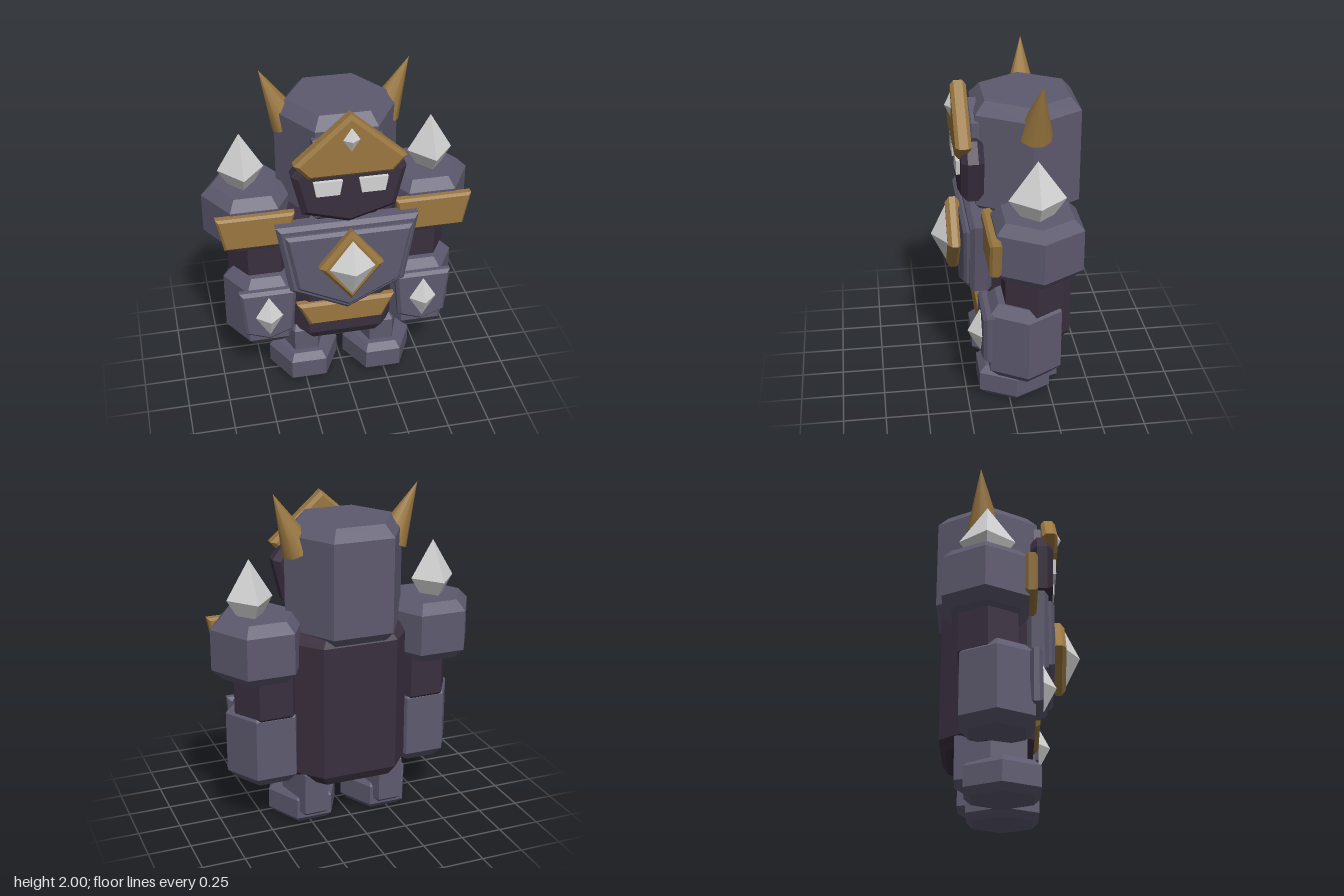
import * as THREE from 'three';

const mat = (name, color) => {
  const m = new THREE.MeshStandardMaterial({ color });
  m.name = name;
  return m;
};

export function createModel() {
  const slate = mat('slate armour', 0x5e5a6f);
  const dark = mat('dark plum', 0x3a2f3f);
  const gold = mat('old gold', 0x9a7740);
  const silver = mat('silver crystal', 0xd4d4d4);

  const model = new THREE.Group();
  model.name = 'armouredGolem';

  const add = (name, geometry, material, x = 0, y = 0, z = 0) => {
    const mesh = new THREE.Mesh(geometry, material);
    mesh.name = name;
    mesh.position.set(x, y, z);
    model.add(mesh);
    return mesh;
  };

  // Chamfered six-sided block: corners on the x axis, flats at front and back
  const hexBlock = (name, material, x, z, rx, halfDepth, y0, y1, b = 0.06) => {
    const r = 1 - b / rx;
    const profile = [[0, y0], [r, y0], [1, y0 + b], [1, y1 - b], [r, y1], [0, y1]]
      .map(([px, py]) => new THREE.Vector2(px, py));
    let g = new THREE.LatheGeometry(profile, 6, Math.PI / 2);
    g.scale(rx, 1, halfDepth / Math.cos(Math.PI / 6));
    g = g.toNonIndexed();
    g.computeVertexNormals();
    return add(name, g, material, x, 0, z);
  };

  // Chamfered plate, symmetric in x, from the right half of its outline
  const plate = (name, material, half, z0, z1, b = 0.02, x = 0) => {
    const left = half.filter(([px]) => px > 0).map(([px, py]) => [-px, py]).reverse();
    const shape = new THREE.Shape([...half, ...left].map(([px, py]) => new THREE.Vector2(px, py)));
    const g = new THREE.ExtrudeGeometry(shape, {
      depth: z1 - z0 - 2 * b, bevelEnabled: b > 0, bevelThickness: b,
      bevelSize: b, bevelOffset: -b, bevelSegments: 1,
    });
    return add(name, g, material, x, 0, z0 + b);
  };

  const crystal = (name, x, y, z, w, h, d) =>
    add(name, new THREE.OctahedronGeometry(1).scale(w, h, d), silver, x, y, z);

  // Torso and head
  hexBlock('torso', dark, 0, -0.125, 0.45, 0.265, 0.29, 1.21);
  hexBlock('head', slate, 0, -0.13, 0.36, 0.3, 1.14, 1.83, 0.07);

  // Face, brow and crown
  plate('browPlate', slate, [[0.2, 1.5], [0.2, 1.72], [0, 1.8]], 0.13, 0.21);
  plate('faceMask', dark,
    [[0, 1.2], [0.27, 1.28], [0.33, 1.53], [0.25, 1.635]], 0.13, 0.26, 0.035);
  plate('crown', gold, [[0.24, 1.53], [0.32, 1.62], [0, 1.905]], 0.2, 0.29);
  crystal('crownCrystal', 0, 1.76, 0.285, 0.055, 0.083, 0.04);

  // Chest armour in two layers, with its crystal
  plate('chestPlate', slate,
    [[0, 0.565], [0.345, 0.735], [0.42, 1.185]], 0.1, 0.225, 0.025);
  plate('chestPanel', slate,
    [[0, 0.615], [0.31, 0.77], [0.375, 1.14]], 0.2, 0.26, 0.02);
  plate('chestDiamond', gold, [[0, 0.71], [0.19, 0.947], [0, 1.185]], 0.25, 0.335, 0.025);
  crystal('chestCrystal', 0, 0.947, 0.335, 0.135, 0.183, 0.088);
  plate('belt', gold, [[0.225, 0.43], [0.3, 0.59]], 0.1, 0.175);

  for (const s of [1, -1]) {
    const side = s > 0 ? 'left' : 'right';

    // Eye
    const eye = plate(side + 'Eye', silver, [[0.067, 1.415], [0.083, 1.505]], 0.25, 0.282, 0, s * 0.13);
    eye.rotation.z = 0;

    // Horn, leaning outward
    const horn = add(side + 'Horn', new THREE.ConeGeometry(0.1, 0.365, 10), gold,
      s * 0.356, 1.837, -0.16);
    horn.rotation.z = -s * 0.43;
    horn.rotation.x = -0.05;

    // Shoulder with gold trim and crystal
    hexBlock(side + 'Shoulder', slate, s * 0.525, -0.13, 0.277, 0.24, 0.96, 1.32);
    plate(side + 'ShoulderTrim', gold, [[0.185, 1.035], [0.228, 1.245]], 0.088, 0.155, 0.015, s * 0.525);
    crystal(side + 'ShoulderCrystal', s * 0.565, 1.415, -0.125, 0.135, 0.226, 0.16);

    // Arm and gauntlet
    hexBlock(side + 'Arm', dark, s * 0.47, -0.115, 0.2, 0.165, 0.7, 1.02, 0.03);
    hexBlock(side + 'Forearm', slate, s * 0.473, -0.065, 0.237, 0.205, 0.29, 0.775);
    plate(side + 'ForearmPlate', slate,
      [[0, 0.37], [0.145, 0.425], [0.172, 0.725]], 0.11, 0.18, 0.02, s * 0.473);
    crystal(side + 'ForearmCrystal', s * 0.473, 0.555, 0.185, 0.083, 0.138, 0.072);

    // Leg and foot
    hexBlock(side + 'Leg', slate, s * 0.237, -0.1, 0.145, 0.2, 0.05, 0.38, 0.04);
    hexBlock(side + 'Foot', slate, s * 0.235, -0.037, 0.215, 0.212, 0, 0.2, 0.04);
  }
  return model;
}
